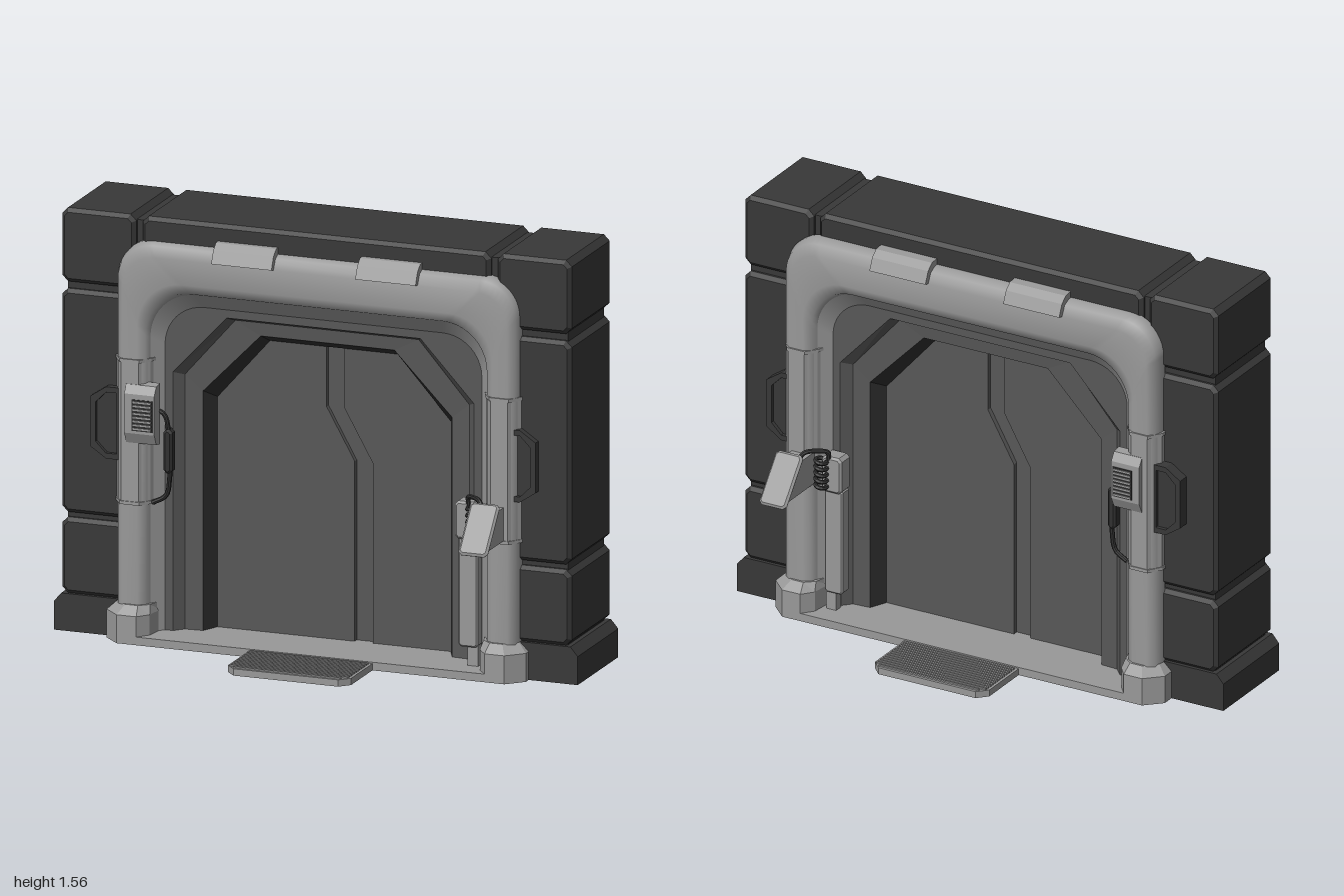
import * as THREE from 'three';

const mat = (color, flat = true) =>
  new THREE.MeshStandardMaterial({ color, flatShading: flat, side: THREE.DoubleSide });
const WALL = mat(0x383838), FRAME = mat(0x999999), SMOOTH = mat(0x999999, false);
const DOOR = mat(0x585858), DARK = mat(0x303030);
const C = 0.013; // the doorway sits slightly off the wall's centre

function add(parent, name, geo, material, x = 0, y = 0, z = 0) {
  const m = new THREE.Mesh(geo, material);
  m.name = name;
  m.position.set(x, y, z);
  parent.add(m);
  return m;
}
const poly = pts => new THREE.Shape(pts.map(p => new THREE.Vector2(p[0], p[1])));
const extrude = (shape, depth) => new THREE.ExtrudeGeometry(shape, { depth, bevelEnabled: false });

// Box with chamfered edges, centred on its origin
function slab(w, h, d, c) {
  const x = w / 2 - c, y = h / 2 - c;
  const s = poly([[-x + c, -y], [x - c, -y], [x, -y + c], [x, y - c], [x - c, y], [-x + c, y], [-x, y - c], [-x, -y + c]]);
  const g = new THREE.ExtrudeGeometry(s, { depth: d - 2 * c, bevelSize: c, bevelThickness: c, bevelSegments: 1 });
  return g.translate(0, 0, -d / 2 + c);
}
// Profile given as [z, y], extruded from x0 to x1
const extrudeX = (pts, x0, x1) => extrude(poly(pts), x1 - x0).rotateY(-Math.PI / 2).translate(x1, 0, 0);
// Plan given as [x, z], extruded upwards
const extrudeY = (pts, y0, y1) =>
  extrude(poly(pts.map(p => [p[0], -p[1]])), y1 - y0).rotateX(-Math.PI / 2).translate(0, y0, 0);

// Skin over a series of point loops
function loft(loops, closed = false) {
  const n = loops[0].length, index = [];
  for (let i = 0; i < loops.length - 1; i++)
    for (let j = 0; j < (closed ? n : n - 1); j++) {
      const k = (j + 1) % n, a = i * n + j, b = i * n + k;
      index.push(a, b, a + n, b, b + n, a + n);
    }
  const g = new THREE.BufferGeometry();
  g.setAttribute('position', new THREE.Float32BufferAttribute(loops.flat(2), 3));
  g.setIndex(index);
  g.computeVertexNormals();
  return g;
}
// Round-cornered arch, from the foot at +x over to the foot at -x
function arch(hw, top, r, z) {
  const right = [[hw, 0.02, z]];
  for (let i = 0; i <= 10; i++) {
    const a = (i / 10) * Math.PI / 2;
    right.push([hw - r + r * Math.cos(a), top - r + r * Math.sin(a), z]);
  }
  return right.concat(right.map(p => [-p[0], p[1], z]).reverse());
}
// Clipped-corner arch
const clipped = (hw, top, flat, shoulder, z) =>
  [[hw, 0.02, z], [hw, shoulder, z], [flat, top, z], [-flat, top, z], [-hw, shoulder, z], [-hw, 0.02, z]];

function buildWall(root) {
  const wall = new THREE.Group();
  wall.name = 'wall';
  wall.position.z = 0.01;
  root.add(wall);
  for (const s of [-1, 1]) {
    // Stacked blocks over a recessed core
    for (const [y0, y1] of [[0.138, 0.418], [0.437, 1.262], [1.288, 1.56]])
      add(wall, 'columnBlock', slab(0.283, y1 - y0, 0.395, 0.014), WALL, s * 0.8315, (y0 + y1) / 2);
    add(wall, 'columnCore', new THREE.BoxGeometry(0.29, 1.52, 0.35), WALL, s * 0.81, 0.77);
    const base = [[0.66, 0], [1, 0], [1, 0.105], [0.972, 0.138], [0.66, 0.138]].map(p => [s * p[0], p[1]]);
    add(wall, 'columnBase', extrude(poly(base), 0.395), WALL, 0, 0, -0.1975);
  }
  add(wall, 'lintel', slab(1.33, 0.23, 0.395, 0.014), WALL, 0, 1.445);
  add(wall, 'lintelCore', new THREE.BoxGeometry(1.4, 0.22, 0.35), WALL, 0, 1.43);
}

function buildArch(side) {
  const g = new THREE.Group();
  g.name = 'doorSurround';
  g.position.x = C;
  side.add(g);
  add(g, 'archFrame', loft([
    arch(0.768, 1.476, 0.14, 0.18), arch(0.768, 1.476, 0.14, 0.202), arch(0.759, 1.463, 0.135, 0.232),
    arch(0.735, 1.425, 0.125, 0.252), arch(0.678, 1.335, 0.17, 0.252), arch(0.652, 1.3, 0.17, 0.237),
    arch(0.643, 1.29, 0.17, 0.21)]), SMOOTH);
  add(g, 'archReveal', loft([arch(0.643, 1.29, 0.17, 0.21), arch(0.605, 1.235, 0.15, 0.165)]), SMOOTH);
  // Stepped panels leading in to the door
  const ring = poly(arch(0.605, 1.235, 0.15, 0));
  ring.holes.push(poly(clipped(0.575, 1.205, 0.37, 0.985, 0).map(p => [p[0], p[1] + (p[1] < 0.1 ? 0.001 : 0)])));
  add(g, 'outerPanel', new THREE.ShapeGeometry(ring), DOOR, 0, 0, 0.165);
  add(g, 'panelStep', loft([clipped(0.575, 1.205, 0.37, 0.985, 0.165), clipped(0.543, 1.19, 0.35, 0.97, 0.13),
    clipped(0.475, 1.14, 0.255, 0.915, 0.125)]), DOOR);
  add(g, 'doorBevel', loft([clipped(0.475, 1.14, 0.255, 0.915, 0.125), clipped(0.445, 1.107, 0.245, 0.88, 0.06),
    clipped(0.445, 1.107, 0.245, 0.88, 0.03)]), DARK);

  for (const s of [-1, 1]) {
    // Faceted sleeve and its collars
    const sleeve = grow => [[0.772 + grow, 0.18], [0.772 + grow, 0.208], [0.738 + grow, 0.254 + grow],
      [0.672 - grow, 0.254 + grow], [0.64 - grow, 0.215], [0.628 - grow, 0.18]].map(p => [s * p[0], p[1]]);
    add(g, 'legSleeve', extrudeY(sleeve(0), 0.51, 1.035), FRAME);
    for (const y of [0.505, 1.03]) add(g, 'legCollar', extrudeY(sleeve(0.004), y, y + 0.012), FRAME);
    // Foot with chamfered plan and sloping top
    const foot = (d, y) => [[0.62, 0.17], [0.8 - d, 0.17], [0.8 - d, 0.235 - d * 0.6], [0.74 - d * 0.6, 0.293 - d],
      [0.665 + d * 0.2, 0.293 - d], [0.63 + d * 0.2, 0.25 - d * 0.6]].map(p => [s * p[0], y, p[1]]);
    add(g, 'foot', loft([foot(0, 0), foot(0, 0.105), foot(0.033, 0.137), foot(0.06, 0.137)], true), FRAME);
  }
}

function buildFittings(side) {
  // Clips over the top of the arch
  const clip = [[0.19, 1.5], [0.225, 1.497], [0.252, 1.475], [0.272, 1.43], [0.25, 1.425], [0.235, 1.455], [0.19, 1.465]];
  for (const x of [-0.374, 0.176]) add(side, 'topClip', extrudeX(clip, x, x + 0.23), FRAME);

  // Hexagonal brackets on the wall beside the legs
  for (const s of [-1, 1]) {
    const outline = d => [[0.74, 0.925 - d], [0.79, 0.925 - d], [0.85 - d, 0.885 - d], [0.85 - d, 0.7 + d],
      [0.79, 0.66 + d], [0.74, 0.66 + d]].map(p => [s * p[0], p[1]]);
    const shape = poly(outline(0));
    shape.holes.push(poly(outline(0.02).map(p => [Math.abs(p[0]) < 0.75 ? s * 0.75 : p[0], p[1]])));
    add(side, 'wallBracket', extrude(shape, 0.045), WALL, 0, 0, 0.19);
    add(side, 'wallBracketPlate', extrude(poly(outline(0.015)), 0.03), WALL, 0, 0, 0.19);
  }

  // Intercom with grille on the -x leg
  const box = [[0.22, 0.955], [0.255, 0.95], [0.275, 0.92], [0.275, 0.775], [0.255, 0.735], [0.22, 0.73]];
  add(side, 'intercomHousing', extrudeX(box, -0.705, -0.59), FRAME);
  add(side, 'intercomRecess', new THREE.BoxGeometry(0.078, 0.115, 0.006), DARK, -0.636, 0.843, 0.275);
  for (let i = 0; i < 8; i++)
    add(side, 'intercomGrille', new THREE.BoxGeometry(0.07, 0.006, 0.012), FRAME, -0.636, 0.794 + i * 0.014, 0.276);

  // Cable running down the inside of the leg
  const tube = (pts, r) => new THREE.TubeGeometry(
    new THREE.CatmullRomCurve3(pts.map(p => new THREE.Vector3(...p))), 24, r, 8);
  add(side, 'intercomCable', tube([[-0.61, 0.86, 0.22], [-0.575, 0.84, 0.215], [-0.56, 0.77, 0.21],
    [-0.557, 0.6, 0.21], [-0.57, 0.54, 0.21], [-0.62, 0.51, 0.215]], 0.009), DARK);
  add(side, 'cableJunction', slab(0.034, 0.165, 0.04, 0.008), DARK, -0.56, 0.705, 0.205);

  // Service box, conduit and coil on the +x leg
  add(side, 'serviceBox', slab(0.083, 0.14, 0.07, 0.008), FRAME, 0.583, 0.572, 0.205);
  add(side, 'serviceStrip', slab(0.075, 0.41, 0.05, 0.006), FRAME, 0.585, 0.305, 0.195);
  add(side, 'serviceConduit', new THREE.BoxGeometry(0.04, 0.08, 0.035), FRAME, 0.6, 0.07, 0.19);
  for (let i = 0; i < 5; i++) {
    const coil = add(side, 'coil', new THREE.TorusGeometry(0.021, 0.008, 6, 14), DARK, 0.617, 0.53 + i * 0.024, 0.25);
    coil.rotation.set(Math.PI / 2, 0.2, 0);
  }
  add(side, 'coilHook', tube([[0.595, 0.63, 0.235], [0.595, 0.66, 0.24], [0.62, 0.668, 0.26],
    [0.66, 0.665, 0.295], [0.68, 0.63, 0.31]], 0.009), DARK);

  // Tilted screen on its arm
  add(side, 'screenArm', extrudeX([[0.22, 0.64], [0.342, 0.64], [0.442, 0.517], [0.22, 0.517]], 0.66, 0.735), FRAME);
  add(side, 'screen', slab(0.112, 0.206, 0.018, 0.008), FRAME, 0.697, 0.59, 0.394).rotation.x = -0.682;

  // Step with tread ribs
  add(side, 'step', extrudeY([[-0.22, 0.28], [0.25, 0.28], [0.25, 0.5], [0.215, 0.537], [-0.185, 0.537], [-0.22, 0.5]], 0, 0.025), FRAME);
  for (let i = 0; i < 14; i++) {
    const w = i > 12 ? 0.41 : 0.45;
    add(side, 'treadRib', new THREE.BoxGeometry(w, 0.008, 0.009), FRAME, 0.015, 0.026, 0.31 + i * 0.0163);
  }
}

// Two leaves meeting along a cranked seam
function buildLeaves(side, turned) {
  const g = new THREE.Group();
  g.name = 'doorLeaves';
  g.position.x = C;
  if (turned) g.rotation.y = Math.PI;
  side.add(g);
  const left = [[-0.46, 0.02], [0.078, 0.02], [0.078, 0.695], [-0.029, 0.885], [-0.029, 1.12], [-0.25, 1.12], [-0.46, 0.88]];
  const right = [[0.46, 0.02], [0.46, 0.88], [0.25, 1.12], [0.04, 1.12], [0.04, 0.885], [0.147, 0.695], [0.147, 0.02]];
  for (const pts of [left, right]) add(g, 'doorLeaf', extrude(poly(pts), 0.06), DOOR);
}

export function createModel() {
  const root = new THREE.Group();
  root.name = 'doorway';
  buildWall(root);
  // Both faces carry the same fittings, mirrored through the wall
  for (const s of [1, -1]) {
    const side = new THREE.Group();
    side.name = s > 0 ? 'frontFace' : 'backFace';
    buildArch(side);
    buildFittings(side);
    side.scale.z = s;
    root.add(side);
    buildLeaves(root, s < 0);
  }
  add(root, 'seamBacking', new THREE.BoxGeometry(0.4, 1.1, 0.08), DOOR, C + 0.04, 0.56, 0);
  const x = 0.8, z = 0.293, c = 0.06;
  add(root, 'threshold', extrudeY([[-x + c, -z], [x - c, -z], [x, -z + c], [x, z - c], [x - c, z], [-x + c, z],
    [-x, z - c], [-x, -z + c]], 0, 0.03), FRAME, C);
  return root;
}
